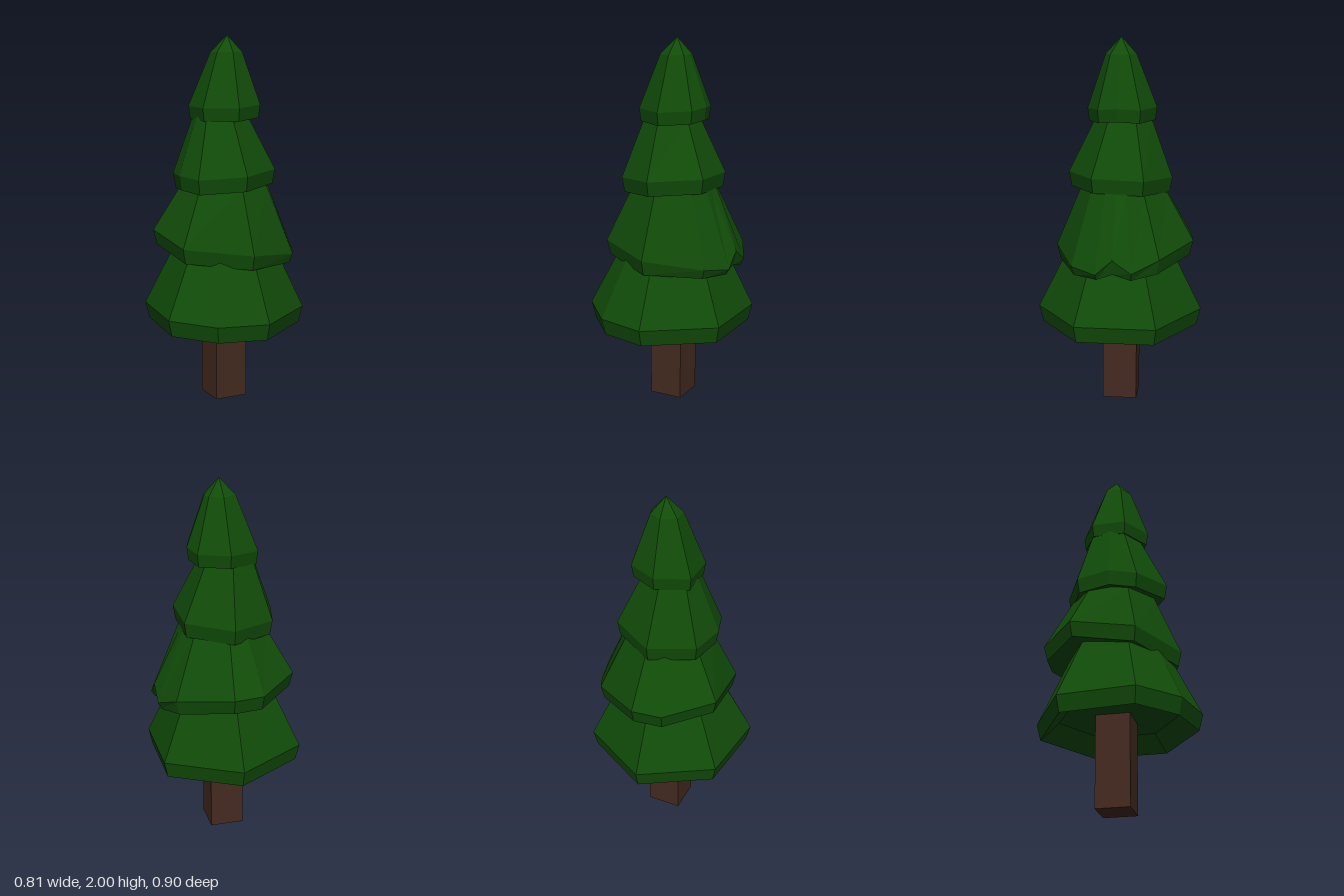
import * as THREE from 'three';

const CX = 0.02, CZ = -0.005; // trunk axis

// Rim corners run clockwise seen from above: [x, z, height]
// Inner and upper rings: [scale, height, x lean, z lean]
const bottomTier = {
  inner: [[0, 0.5], [0.72, 0.51]], drop: 0.09, lowest: 0.42,
  rim: [[0.015, -0.45, 0.51], [0.4, -0.23, 0.51], [0.4, 0.205, 0.51], [0.055, 0.45, 0.51],
    [-0.215, 0.385, 0.51], [-0.405, 0.185, 0.52], [-0.365, -0.235, 0.52]],
  upper: [[0.66, 0.82], [0.48, 0.98], [0, 0.99]],
};
const lowerMiddleTier = {
  inner: [[0, 0.9]], drop: 0.08, lowest: 0.77,
  rim: [[0.055, -0.405, 0.91], [0.33, -0.24, 0.87], [0.4, -0.1, 0.81], [0.4, 0, 0.88],
    [0.4, 0.09, 0.8], [0.32, 0.225, 0.82], [0.015, 0.35, 0.86], [-0.31, 0.165, 0.89],
    [-0.335, -0.18, 0.94], [-0.11, -0.385, 0.91]],
  upper: [[0.61, 1.19], [0.48, 1.32], [0, 1.33]],
};
const upperMiddleTier = {
  inner: [[0, 1.25]], drop: 0.08, lowest: 1.17,
  rim: [[0.02, -0.285, 1.25], [0.26, -0.15, 1.27], [0.26, 0.125, 1.28], [0.01, 0.28, 1.27],
    [-0.215, 0.155, 1.25], [-0.26, 0.01, 1.26], [-0.215, -0.175, 1.25]],
  upper: [[0.53, 1.57, -0.018, -0.015], [0, 1.58]],
};
const topTier = {
  inner: [[0, 1.61]], drop: 0.07, lowest: 1.55,
  rim: [[0.02, -0.2, 1.63], [0.18, -0.125, 1.63], [0.21, -0.01, 1.64], [0.18, 0.1, 1.63],
    [0.015, 0.175, 1.62], [-0.15, 0.075, 1.62], [-0.15, -0.11, 1.62]],
  upper: [[0.44, 1.91, 0.01], [0, 2, 0.015, -0.005]],
};

// Skin a stack of equal-length rings with flat quads, skipping collapsed triangles
function skin(rings) {
  const pos = [];
  const tri = (a, b, c) => {
    if (a.equals(b) || b.equals(c) || a.equals(c)) return;
    for (const v of [a, b, c]) pos.push(v.x, v.y, v.z);
  };
  for (let r = 0; r < rings.length - 1; r++) {
    const lo = rings[r], hi = rings[r + 1];
    lo.forEach((a, i) => {
      const j = (i + 1) % lo.length;
      tri(lo[j], a, hi[i]);
      tri(lo[j], hi[i], hi[j]);
    });
  }
  const geo = new THREE.BufferGeometry();
  geo.setAttribute('position', new THREE.Float32BufferAttribute(pos, 3));
  geo.computeVertexNormals();
  return geo;
}

function tierGeometry({ rim, inner, drop, lowest, upper }) {
  const ring = (s, height, dx = 0, dz = 0) => rim.map(([x, z, y]) =>
    new THREE.Vector3(CX + dx + (x - CX) * s, height(y), CZ + dz + (z - CZ) * s));
  const level = ([s, y, dx, dz]) => ring(s, () => y, dx, dz);
  return skin([
    ...inner.map(level),                              // hollow underside
    ring(0.95, (y) => Math.max(y - drop, lowest)),    // lip
    ring(1, (y) => y),                                // rim
    ...upper.map(level),                              // slope
  ]);
}

export function createModel() {
  const model = new THREE.Group();
  model.name = 'pineTree';
  const green = new THREE.MeshStandardMaterial({ color: 0x114c09, flatShading: true });
  const brown = new THREE.MeshStandardMaterial({ color: 0x442a20, flatShading: true });
  const add = (name, geometry, material) => {
    const mesh = new THREE.Mesh(geometry, material);
    mesh.name = name;
    model.add(mesh);
  };

  // Square trunk, straight at the foot and tapering inside the foliage
  const square = (h, y) => [[-h, -h], [h, -h], [h, h], [-h, h]].map(([x, z]) =>
    new THREE.Vector3(0.015 + x, y, -0.008 + z));
  add('trunk', skin([square(0, 0), square(0.093, 0), square(0.093, 0.6),
    square(0.06, 1.6), square(0, 1.6)]), brown);

  // Foliage tiers
  for (const [name, tier] of Object.entries({ bottomTier, lowerMiddleTier, upperMiddleTier, topTier })) {
    add(name, tierGeometry(tier), green);
  }
  return model;
}
